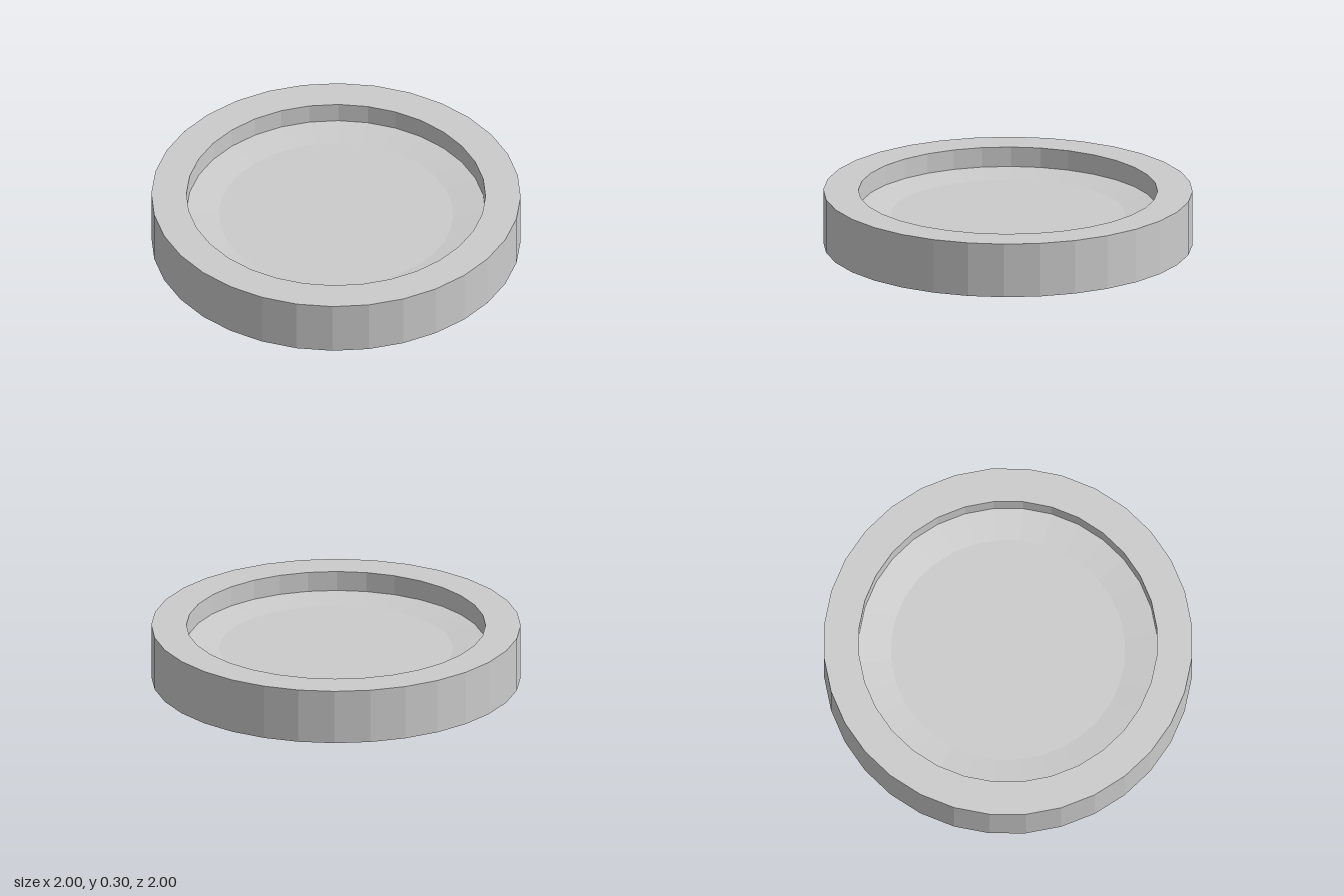
import * as THREE from 'three';

const SIDES = 32;

export function createModel() {
  const group = new THREE.Group();
  group.name = 'shallowDish';

  // Cross-section from the underside centre, round the rim, to the floor centre
  const profile = [
    [0, 0], [1, 0],           // underside
    [1, 0.3], [0.81, 0.3],    // outer wall and flat rim
    [0.81, 0.19],             // inner wall
    [0.635, 0.168], [0, 0.168], // gentle slope down to the flat floor
  ].map(([r, y]) => new THREE.Vector2(r, y));

  const material = new THREE.MeshStandardMaterial({ color: 0xcccccc, flatShading: true });
  const dish = new THREE.Mesh(new THREE.LatheGeometry(profile, SIDES), material);
  dish.name = 'dish';
  group.add(dish);
  return group;
}
